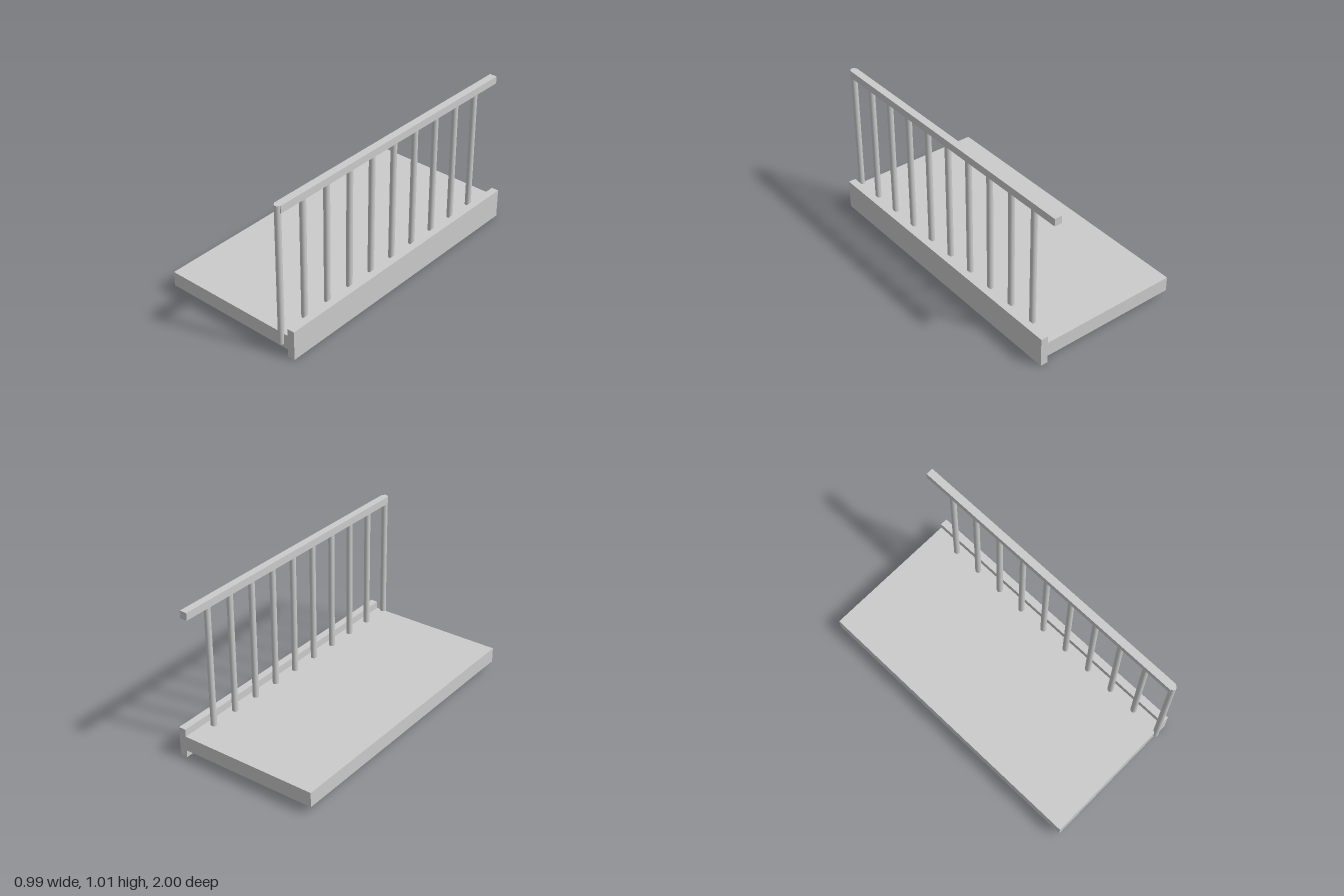
import * as THREE from 'three';

const U = 0.198; // one baluster spacing; all sizes below are multiples of it
const BACK = -1;
const LENGTH = 10 * U;

export function createModel() {
  const group = new THREE.Group();
  const material = new THREE.MeshStandardMaterial({ color: 0xcccccc });

  // Full-length bar given by its x and y limits
  const addBar = (name, x0, x1, y0, y1) => {
    const bar = new THREE.Mesh(new THREE.BoxGeometry((x1 - x0) * U, (y1 - y0) * U, LENGTH), material);
    bar.name = name;
    bar.position.set((x0 + x1) / 2 * U, (y0 + y1) / 2 * U, BACK + LENGTH / 2);
    group.add(bar);
  };

  addBar('floorSlab', -2.5, 2.25, 0.25, 0.75);
  addBar('edgeCurb', 2.25, 2.5, 0, 1);
  addBar('handrail', 1.875, 2.125, 4.875, 5.125);

  // Row of round balusters, sunk into the slab and running up through the rail
  const balusters = new THREE.Group();
  balusters.name = 'balusters';
  const post = new THREE.CylinderGeometry(0.1 * U, 0.1 * U, 4.75 * U, 24);
  for (let i = 1; i <= 10; i++) {
    const baluster = new THREE.Mesh(post, material);
    baluster.name = 'baluster';
    baluster.position.set(2 * U, 2.75 * U, BACK + i * U);
    balusters.add(baluster);
  }
  group.add(balusters);

  return group;
}
